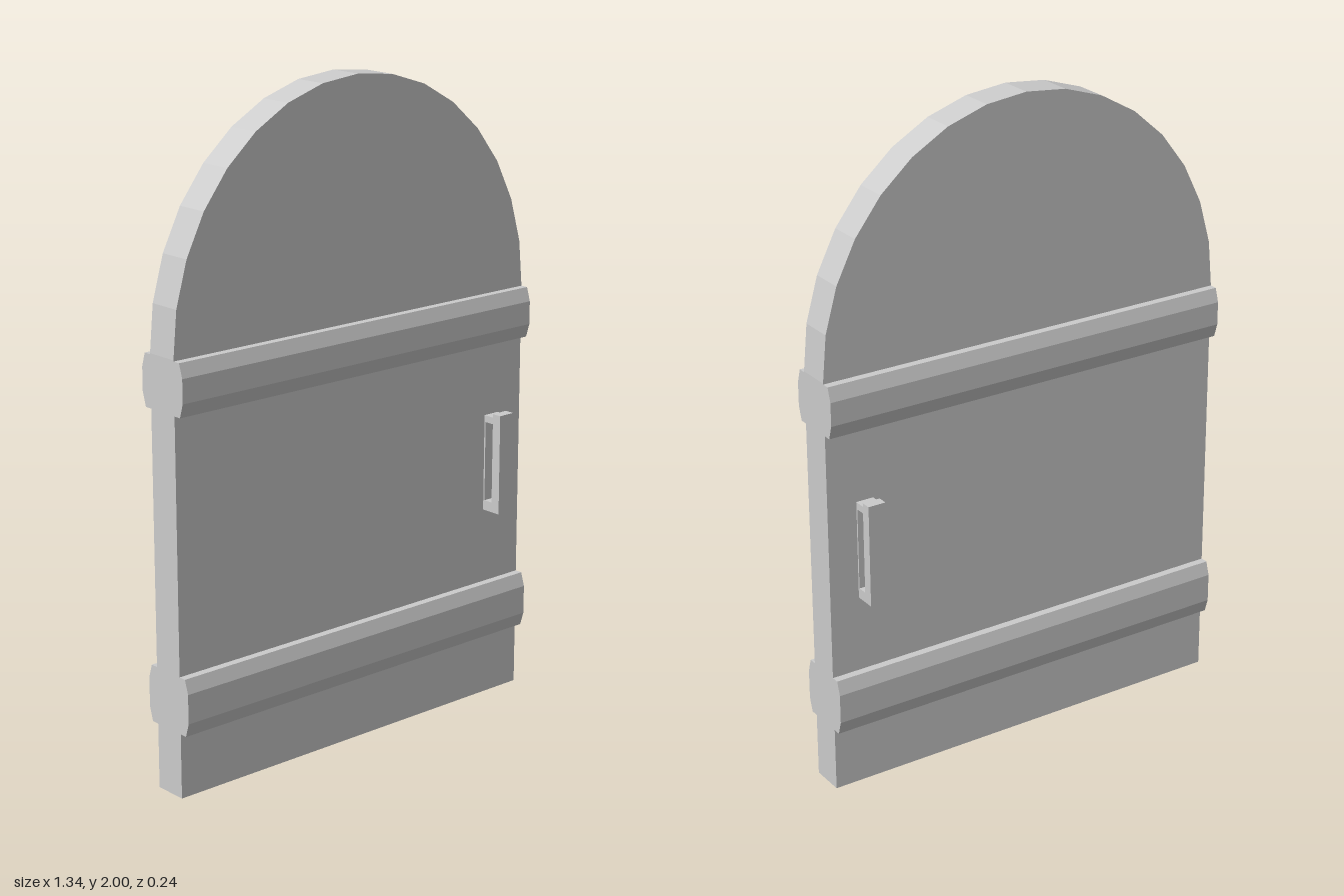
import * as THREE from 'three';

const material = new THREE.MeshStandardMaterial({ color: 0xcccccc, flatShading: true });
const HALF_WIDTH = 0.668;
const HALF_DEPTH = 0.052;

function addMesh(parent, name, geometry) {
  const mesh = new THREE.Mesh(geometry, material);
  mesh.name = name;
  parent.add(mesh);
  return mesh;
}

// Arched slab with a faceted elliptical top
function doorPanel() {
  const spring = 1.29, rise = 0.71, segments = 16;
  const points = [new THREE.Vector2(-HALF_WIDTH, 0), new THREE.Vector2(HALF_WIDTH, 0)];
  for (let i = 0; i <= segments; i++) {
    const a = (i / segments) * Math.PI;
    points.push(new THREE.Vector2(HALF_WIDTH * Math.cos(a), spring + rise * Math.sin(a)));
  }
  const geometry = new THREE.ExtrudeGeometry(new THREE.Shape(points), { depth: 2 * HALF_DEPTH, bevelEnabled: false });
  return geometry.translate(0, 0, -HALF_DEPTH);
}

// Horizontal band with bevelled faces, wrapping both sides of the door
function bandGeometry(bottom, top) {
  const edge = 0.076, face = 0.089, bevel = 0.042;
  const side = [[edge, bottom], [face, bottom + bevel], [face, top - bevel], [edge, top]];
  const outline = [...side, ...side.map(([z, y]) => [-z, y]).reverse()];
  const shape = new THREE.Shape(outline.map(([z, y]) => new THREE.Vector2(z, y)));
  const geometry = new THREE.ExtrudeGeometry(shape, { depth: 2 * HALF_WIDTH, bevelEnabled: false });
  return geometry.translate(0, 0, -HALF_WIDTH).rotateY(-Math.PI / 2);
}

// Pull handle: grip bar, two arms and a thin backing plate
function handle(name, sign) {
  const group = new THREE.Group();
  group.name = name;
  const width = 0.055;
  const box = (part, y0, y1, z0, z1) => {
    const mesh = addMesh(group, part, new THREE.BoxGeometry(width, y1 - y0, z1 - z0));
    mesh.position.set(0.547, (y0 + y1) / 2, sign * (z0 + z1) / 2);
  };
  box('gripBar', 0.604, 0.917, 0.088, 0.119);
  box('upperArm', 0.885, 0.906, 0.05, 0.088);
  box('lowerArm', 0.604, 0.635, 0.05, 0.088);
  box('backPlate', 0.604, 0.906, 0.045, 0.057);
  return group;
}

export function createModel() {
  const model = new THREE.Group();
  model.name = 'archedDoor';
  addMesh(model, 'doorPanel', doorPanel());
  addMesh(model, 'upperBand', bandGeometry(1.132, 1.287));
  addMesh(model, 'lowerBand', bandGeometry(0.197, 0.37));
  model.add(handle('frontHandle', 1), handle('backHandle', -1));
  return model;
}
